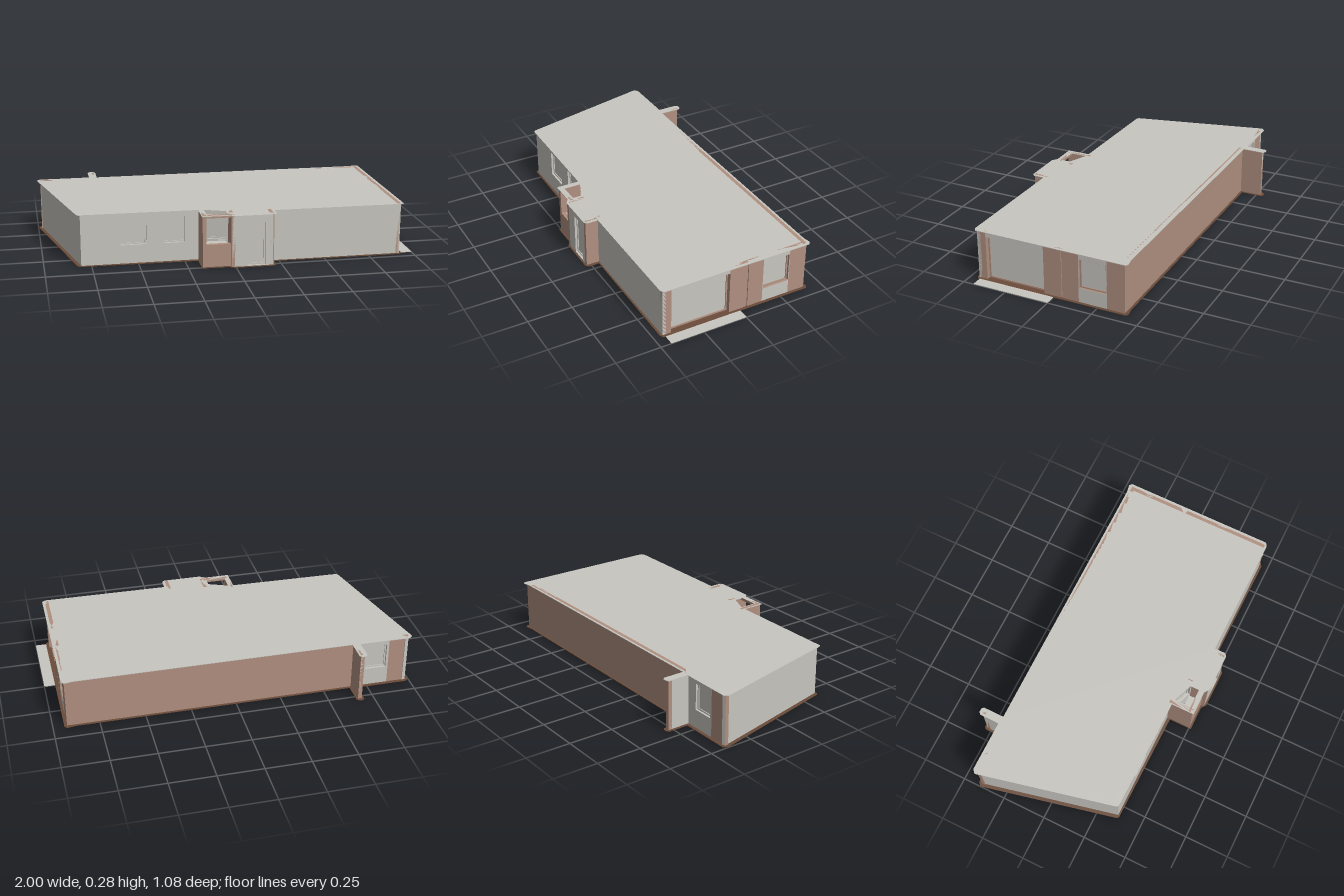
import * as THREE from 'three';

const H = 0.285;   // wall height
const T = 0.02;    // wall thickness
const SLAB = 0.003;

const grey = new THREE.MeshStandardMaterial({ color: 0xc8c6c0, side: THREE.DoubleSide });
grey.name = 'plaster grey';
const brown = new THREE.MeshStandardMaterial({ color: 0xb09080, side: THREE.DoubleSide });
brown.name = 'brick brown';
const earth = new THREE.MeshStandardMaterial({ color: 0x6b4c39, side: THREE.DoubleSide });
earth.name = 'floor brown';

const rect = (Type, x0, y0, x1, y1) => new Type([[x0, y0], [x1, y0], [x1, y1], [x0, y1]].map(p => new THREE.Vector2(...p)));

function extrude(shape, depth, z, materials, name) {
  const geometry = new THREE.ExtrudeGeometry(shape, { depth, bevelEnabled: false });
  geometry.translate(0, 0, z);
  const mesh = new THREE.Mesh(geometry, materials);
  mesh.name = name;
  return mesh;
}

// A wall from a to b (x, z) with its outer face on the +z side of that line.
// Openings are [start, end, bottom, top], measured along the wall.
function wall(name, a, b, face, { reveal = face, openings = [], bottom = 0, top = H, frame = grey, fill = 'Window' } = {}) {
  const group = new THREE.Group();
  group.name = name;
  const dx = b[0] - a[0], dz = b[1] - a[1];
  const shape = rect(THREE.Shape, 0, bottom, Math.hypot(dx, dz), top);
  for (const [s, e, y0, y1] of openings) {
    shape.holes.push(rect(THREE.Path, s, y0, e, y1));
    const w = 0.008;
    const ring = rect(THREE.Shape, s, y0, e, y1);
    ring.holes.push(rect(THREE.Path, s + w, y0 + w, e - w, y1 - w));
    group.add(extrude(ring, 0.008, -T, frame, 'frame' + fill));
    group.add(extrude(rect(THREE.Shape, s + w, y0 + w, e - w, y1 - w), 0.003, -T, grey, 'pane' + fill));
  }
  group.add(extrude(shape, T, -T, [face, reveal], name + 'Panel'));
  group.position.set(a[0], 0, a[1]);
  group.rotation.y = Math.atan2(-dz, dx);
  return group;
}

// Plan shared by roof and floor, as x, z
const plan = [
  [-1, -0.4], [-0.98, -0.418], [-0.695, -0.418], [-0.695, -0.53], [-0.683, -0.542], [-0.662, -0.542],
  [-0.65, -0.53], [-0.65, -0.412], [0.88, -0.412], [0.925, -0.42], [0.94, -0.408], [0.94, 0.45],
  [0.92, 0.463], [0.22, 0.457], [0.22, 0.52], [0.205, 0.533], [-0.01, 0.533], [-0.04, 0.512],
  [-0.18, 0.512], [-0.18, 0.382], [-0.815, 0.372], [-0.825, 0.36],
];
const lightWell = [[-0.15, 0.385], [-0.04, 0.43], [-0.04, 0.48], [-0.15, 0.48]];

function slab(name, material, y) {
  const toPoints = list => list.map(([x, z]) => new THREE.Vector2(x, -z));
  const shape = new THREE.Shape(toPoints(plan));
  shape.holes.push(new THREE.Path(toPoints(lightWell)));
  const mesh = extrude(shape, SLAB, 0, material, name);
  mesh.rotation.x = -Math.PI / 2;
  mesh.position.y = y;
  return mesh;
}

function box(name, x0, x1, y0, y1, z0, z1, material) {
  const mesh = new THREE.Mesh(new THREE.BoxGeometry(x1 - x0, y1 - y0, z1 - z0), material);
  mesh.position.set((x0 + x1) / 2, (y0 + y1) / 2, (z0 + z1) / 2);
  mesh.name = name;
  return mesh;
}

export function createModel() {
  const house = new THREE.Group();
  house.name = 'house';
  house.add(slab('roof', grey, H - SLAB), slab('floor', earth, 0));
  house.add(box('ramp', 0.94, 1, 0, 0.003, 0, 0.44, grey));

  // Front: window wall, then the long wall beyond the entry
  const fz = 0.363, fx = -0.805;
  house.add(wall('frontWindowWall', [fx, fz], [-0.17, fz], grey, {
    openings: [[-0.595 - fx, -0.455 - fx, 0.105, 0.25], [-0.365 - fx, -0.248 - fx, 0.105, 0.25]],
  }));
  house.add(wall('frontLongWall', [0.2, 0.45], [0.925, 0.45], grey));

  // Entry block with door
  house.add(wall('entryFront', [-0.02, 0.523], [0.2, 0.523], grey, {
    openings: [[0.085, 0.18, 0.006, 0.24]], fill: 'Door',
  }));
  house.add(wall('entryRightSide', [0.205, 0.523], [0.205, 0.43], brown));
  house.add(wall('entryLeftSide', [-0.025, 0.4], [-0.025, 0.523], brown));

  // Planter bay under the roof opening, with an angled window behind
  house.add(box('planterFront', -0.175, -0.025, 0, 0.125, 0.48, 0.503, brown));
  house.add(box('planterTop', -0.15, -0.04, 0.118, 0.123, 0.43, 0.48, grey));
  house.add(box('bayLintel', -0.175, -0.025, 0.27, H, 0.48, 0.503, brown));
  house.add(wall('baySide', [-0.175, 0.363], [-0.175, 0.503], brown));
  house.add(wall('bayWindowWall', [-0.16, 0.38], [-0.025, 0.43], grey, { openings: [[0.008, 0.136, 0.125, 0.26]] }));

  // Right side: garage opening, brick piers and a window
  const rx = 0.925;
  house.add(wall('garageFrontPier', [rx, 0.45], [rx, 0.4], brown));
  house.add(wall('garageLintel', [rx, 0.4], [rx, 0.06], grey, { bottom: 0.25, reveal: brown }));
  const garage = wall('garageDoor', [rx - 0.012, 0.402], [rx - 0.012, 0.058], brown, {
    openings: [[0.002, 0.342, 0.003, 0.25]], top: 0.252, frame: brown, fill: 'Garage',
  });
  house.add(garage);
  house.add(wall('middlePierFront', [rx, 0.06], [rx, -0.042], brown));
  house.add(wall('middlePierBack', [rx, -0.05], [rx, -0.14], brown));
  house.add(box('pierJoint', rx - T, rx - 0.006, 0, H, -0.05, -0.042, brown));
  house.add(wall('rightWindowWall', [rx, -0.14], [rx, -0.3], grey, {
    openings: [[0.003, 0.157, 0.083, 0.248]], reveal: brown, frame: brown,
  }));
  house.add(wall('rightBackPier', [rx, -0.3], [rx, -0.4], brown));

  // Back: long brick wall, projecting fin, window and corner
  const bz = -0.4;
  house.add(wall('backWall', [rx, bz], [-0.66, bz], brown));
  house.add(wall('finRight', [-0.66, bz], [-0.66, -0.525], brown));
  house.add(wall('finEnd', [-0.66, -0.525], [-0.682, -0.525], brown));
  house.add(wall('finLeft', [-0.682, -0.525], [-0.682, bz], grey));
  house.add(wall('backWindowWall', [-0.682, bz], [-0.87, bz], grey, { openings: [[0.06, 0.175, 0.105, 0.25]] }));
  house.add(wall('backCorner', [-0.87, bz], [-0.98, bz], brown));

  // Slanted left side in two panels
  const mid = [-0.875, 0.058];
  house.add(wall('leftBackWall', [-0.98, bz], mid, grey));
  house.add(wall('leftFrontWall', mid, [fx, fz], grey));
  return house;
}
